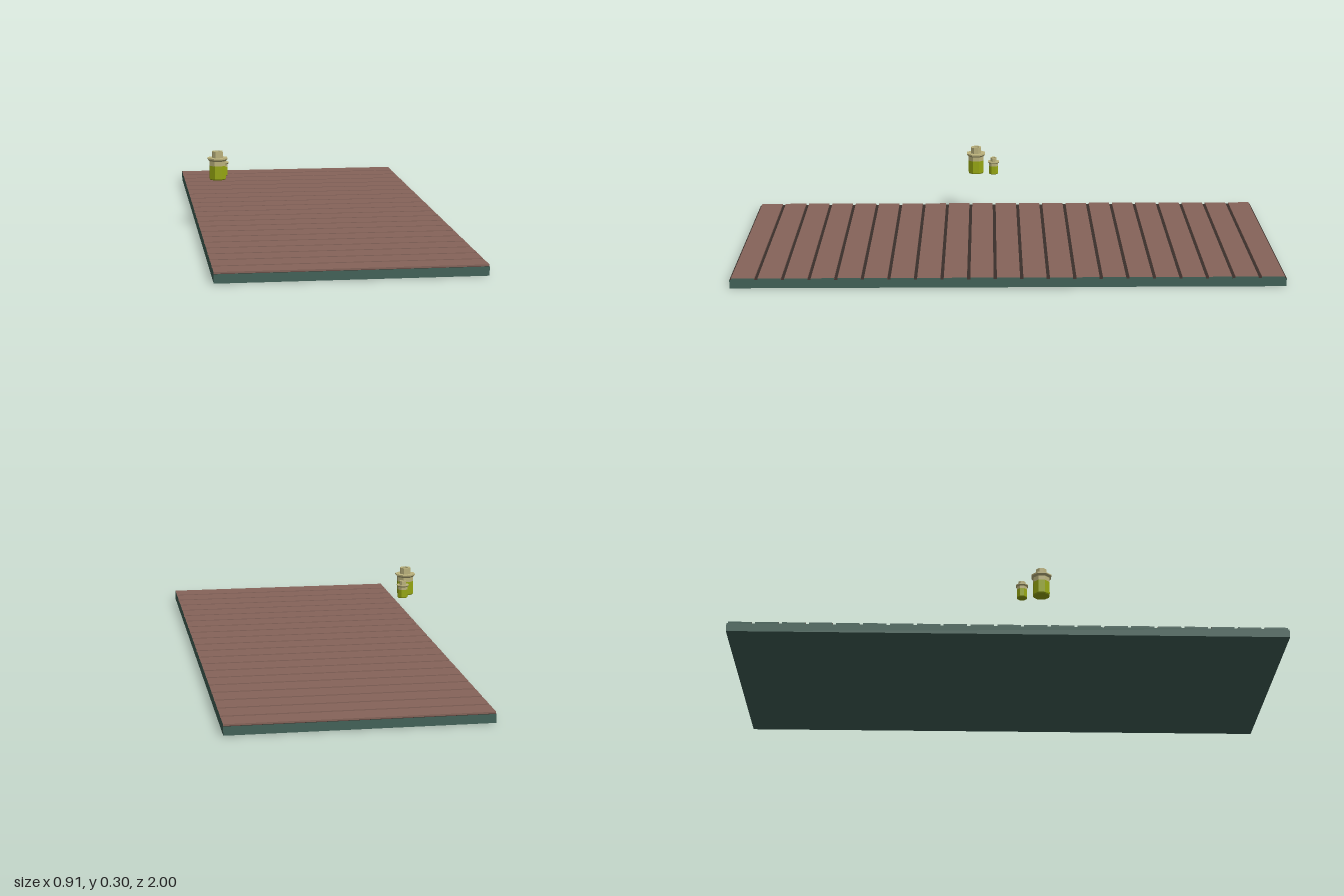
import * as THREE from 'three';

const mat = (name, color) => {
  const m = new THREE.MeshStandardMaterial({ color });
  m.name = name;
  return m;
};

export function createModel() {
  const root = new THREE.Group();
  const wood = mat('brown wood', 0x86645a);
  const teal = mat('dark teal edge', 0x436359);
  const groove = mat('dark groove', 0x3a302b);
  const liquid = mat('green liquid', 0x97a812);
  const glass = mat('pale tan glass', 0xbdb47e);

  const add = (parent, name, geometry, material, x = 0, y = 0, z = 0) => {
    const mesh = new THREE.Mesh(geometry, material);
    mesh.name = name;
    mesh.position.set(x, y, z);
    parent.add(mesh);
    return mesh;
  };

  // Floor slab; its dark top shows only in the gaps between boards
  const width = 0.91, slabTop = 0.031, top = 0.037;
  add(root, 'floorSlab', new THREE.BoxGeometry(width, slabTop, 2),
    [teal, teal, groove, teal, teal, teal], 0, slabTop / 2, 0);

  // Boards across the floor, with teal ends
  const count = 21, pitch = 2 / count, gap = 0.012;
  const board = new THREE.BoxGeometry(width, top - slabTop, pitch - gap);
  for (let i = 0; i < count; i++) {
    add(root, 'floorBoard', board, [teal, teal, wood, wood, wood, wood],
      0, (top + slabTop) / 2, -1 + (i + 0.5) * pitch);
  }

  // Faceted eight-sided turning
  const turned = (points) => {
    const g = new THREE.LatheGeometry(
      points.map(([r, y]) => new THREE.Vector2(r, y)), 8, Math.PI / 8).toNonIndexed();
    g.computeVertexNormals();
    return g;
  };
  const lower = turned([[0, 0], [0.029, 0], [0.032, 0.004], [0.032, 0.053]]);
  const upper = turned([[0.032, 0.053], [0.032, 0.072]]);
  const rim = turned([[0.032, 0.070], [0.039, 0.077], [0.039, 0.082], [0.021, 0.082]]);
  const neck = turned([[0.021, 0.082], [0.021, 0.106], [0.013, 0.106], [0.013, 0.100], [0, 0.100]]);

  // Two floating jars, the second a smaller copy
  const jar = (name, x, y, z, scale) => {
    const group = new THREE.Group();
    group.name = name;
    add(group, 'jarLiquid', lower, liquid);
    add(group, 'jarShoulder', upper, glass);
    add(group, 'jarRim', rim, glass);
    add(group, 'jarNeck', neck, glass);
    group.position.set(x, y, z);
    group.scale.setScalar(scale);
    root.add(group);
  };
  jar('largeJar', -0.378, 0.19, 0.12, 1);
  jar('smallJar', -0.354, 0.193, 0.05, 0.62);

  return root;
}
